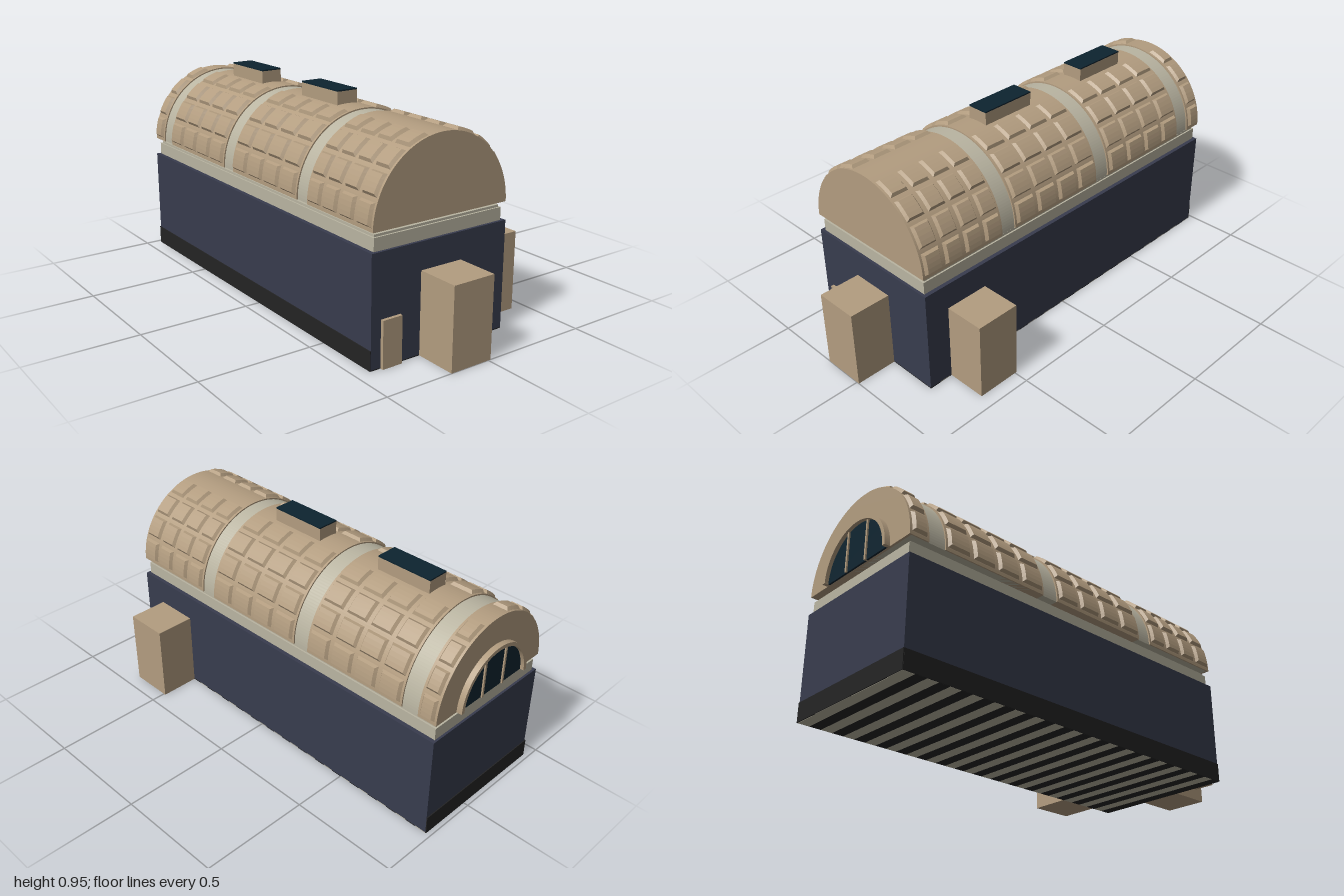
import * as THREE from 'three';

const CX = -0.09, SPRING = 0.555; // vault axis
const FRONT = 0.81, BACK = -0.975;

function makeMaterial(name, color) {
  const m = new THREE.MeshStandardMaterial({ color });
  m.name = name;
  return m;
}

export function createModel() {
  const tan = makeMaterial('tan stone', 0xb39d80);
  const trim = makeMaterial('pale trim', 0xbab5a2);
  const navy = makeMaterial('navy wall', 0x383c4e);
  const glass = makeMaterial('dark glass', 0x0d2430);
  const black = makeMaterial('black plinth', 0x242424);

  const model = new THREE.Group();
  model.name = 'vaultedHall';

  const add = (name, geometry, material, parent = model) => {
    const mesh = new THREE.Mesh(geometry, material);
    mesh.name = name;
    parent.add(mesh);
    return mesh;
  };
  // Box given by its limits
  const box = (name, x0, x1, y0, y1, z0, z1, material, parent) => {
    const mesh = add(name, new THREE.BoxGeometry(x1 - x0, y1 - y0, z1 - z0), material, parent);
    mesh.position.set((x0 + x1) / 2, (y0 + y1) / 2, (z0 + z1) / 2);
    return mesh;
  };
  // Half disc, optionally hollow, extruded between two z values
  const arch = (name, r, z0, z1, material, inner = 0) => {
    const shape = new THREE.Shape();
    shape.absarc(0, 0, r, 0, Math.PI, false);
    if (inner) shape.absarc(0, 0, inner, Math.PI, 0, true);
    shape.closePath();
    const g = new THREE.ExtrudeGeometry(shape, { depth: z1 - z0, bevelEnabled: false, curveSegments: 40 });
    const mesh = add(name, g, material);
    mesh.position.set(CX, SPRING, z0);
    return mesh;
  };

  // Walls and floor
  box('walls', -0.43, 0.25, 0.004, 0.475, BACK, FRONT, navy);
  box('backPlinth', -0.433, 0.25, 0.001, 0.085, BACK - 0.004, BACK, black);
  box('sidePlinth', -0.434, -0.43, 0.001, 0.085, BACK, FRONT, black);
  const floor = new THREE.Group();
  floor.name = 'floor';
  model.add(floor);
  const strips = 34, step = (FRONT - BACK) / strips;
  for (let i = 0; i < strips; i++) {
    box('floorStrip', -0.43, 0.25, 0, 0.004, BACK + i * step, BACK + (i + 1) * step, i % 2 ? black : trim, floor);
  }

  // Stepped cornice
  box('corniceBase', -0.412, 0.232, 0.475, 0.53, -0.965, 0.798, trim);
  box('corniceLedge', -0.405, 0.225, 0.53, 0.54, -0.955, 0.79, trim);
  box('corniceNeck', -0.383, 0.205, 0.54, SPRING, -0.93, 0.77, trim);

  // Entrance blocks
  box('frontPorch', -0.19, 0.012, 0, 0.357, FRONT, 1, tan);
  box('sidePorch', 0.25, 0.433, 0, 0.357, 0.49, 0.695, tan);
  box('smallDoor', -0.383, -0.29, 0, 0.203, FRONT, 0.825, tan);

  // Bevelled coffer panel bent around the vault
  const panelGeometry = (a0, a1, z0, z1) => {
    const indexed = new THREE.BoxGeometry(1, 1, 1, 1, 4, 1);
    const p = indexed.attributes.position;
    for (let i = 0; i < p.count; i++) {
      const top = p.getX(i) > 0;
      const r = top ? 0.349 : 0.333;
      const shrink = top ? 0.012 : 0;
      const a = (a0 + a1) / 2 + p.getY(i) * (a1 - a0 - shrink * 2 / r);
      const z = (z0 + z1) / 2 + p.getZ(i) * (z1 - z0 - shrink * 2);
      p.setXYZ(i, r * Math.cos(a), r * Math.sin(a), z);
    }
    const g = indexed.toNonIndexed();
    g.computeVertexNormals();
    return g;
  };

  // Vault: tan bays [back z, front z, panel columns] over a pale inner barrel
  arch('vaultRibs', 0.33, BACK + 0.01, FRONT - 0.01, trim);
  const bays = [[0.38, FRONT, 4], [-0.21, 0.305, 4], [-0.805, -0.29, 4], [BACK, -0.885, 1]];
  const panels = new THREE.Group();
  panels.name = 'vaultPanels';
  panels.position.set(CX, SPRING, 0);
  model.add(panels);
  const deg = Math.PI / 180;
  for (const [z0, z1, columns] of bays) {
    arch('vaultBay', 0.336, z0, z1, tan);
    const pitch = (z1 - z0) / columns;
    for (let c = 0; c < columns; c++) {
      for (let row = 0; row < 4; row++) {
        const start = 2.5 + row * 19.5;
        const za = z0 + c * pitch + 0.008, zb = z0 + (c + 1) * pitch - 0.008;
        add('panel', panelGeometry(start * deg, (start + 17) * deg, za, zb), tan, panels);
        add('panel', panelGeometry((163 - start) * deg, (180 - start) * deg, za, zb), tan, panels);
      }
    }
  }

  // Rooflights on the ridge
  for (const z of [0.055, -0.545]) {
    box('rooflightCurb', -0.14, -0.04, 0.87, 0.945, z - 0.135, z + 0.135, tan);
    box('rooflightGlass', -0.14, -0.04, 0.945, 0.951, z - 0.135, z + 0.135, glass);
  }

  // Half-round back window
  arch('windowFrame', 0.212, -1, BACK, tan, 0.195);
  arch('windowGlass', 0.196, BACK - 0.008, BACK, glass);
  for (const s of [-1, 1]) {
    const x = CX + s * 0.065;
    box('windowMullion', x - 0.005, x + 0.005, SPRING, SPRING + 0.184, -0.99, BACK, tan);
  }

  return model;
}
